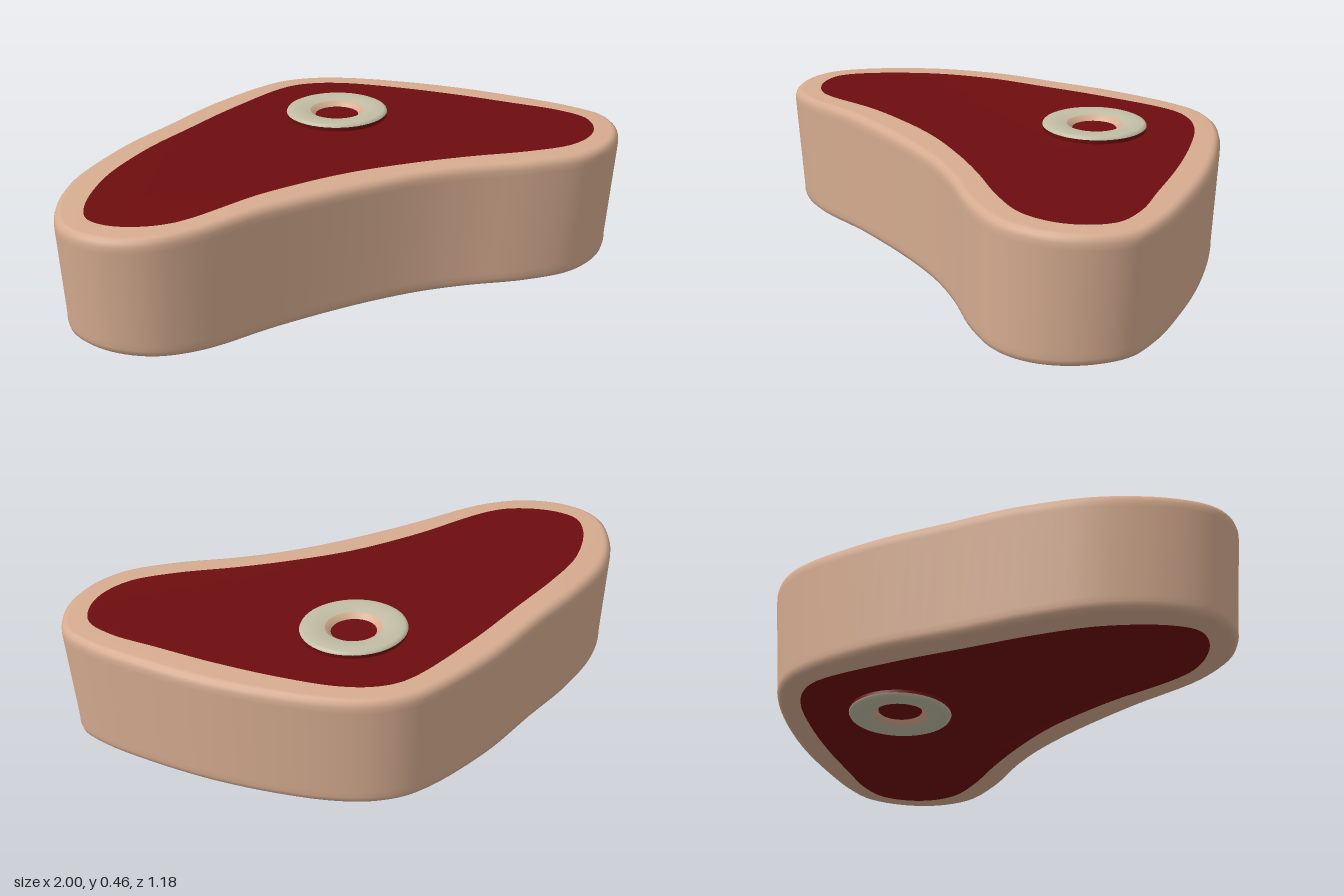
import * as THREE from 'three';

const material = (name, color) => Object.assign(new THREE.MeshStandardMaterial({ color }), { name });

// Matching outlines seen from above, as x, z pairs
const OUTER = [[0.2, -0.593], [0.33, -0.57], [0.45, -0.5], [0.6, -0.36], [0.75, -0.18], [0.88, 0.02], [0.965, 0.18],
  [1, 0.31], [0.95, 0.44], [0.84, 0.54], [0.69, 0.585], [0.51, 0.555], [0.3, 0.48], [0.13, 0.437], [-0.1, 0.412],
  [-0.4, 0.405], [-0.69, 0.418], [-0.85, 0.38], [-0.96, 0.28], [-1, 0.15], [-0.95, 0], [-0.81, -0.17],
  [-0.6, -0.3], [-0.37, -0.4], [-0.1, -0.52]];
const INNER = [[0.2, -0.51], [0.3, -0.495], [0.4, -0.435], [0.53, -0.3], [0.67, -0.12], [0.79, 0.06], [0.88, 0.2],
  [0.912, 0.31], [0.875, 0.4], [0.8, 0.465], [0.69, 0.495], [0.54, 0.468], [0.34, 0.4], [0.16, 0.35], [-0.07, 0.308],
  [-0.35, 0.305], [-0.7, 0.338], [-0.82, 0.29], [-0.89, 0.22], [-0.912, 0.15], [-0.87, 0.05], [-0.73, -0.1],
  [-0.55, -0.21], [-0.32, -0.315], [-0.08, -0.42]];

const COUNT = 150;
const BASE_SCALE = 0.975;

function sampleOutline(pairs) {
  const curve = new THREE.CatmullRomCurve3(pairs.map(([x, z]) => new THREE.Vector3(x, 0, z)), true);
  return Array.from({ length: COUNT }, (_, i) => curve.getPoint(i / COUNT));
}

// Slightly uneven upper and lower faces
const topHeight = (x) => 0.438 - 0.022 * THREE.MathUtils.smoothstep(-x, 0.4, 1) - 0.006 * Math.max(0, x) ** 4;
const bottomHeight = (x, z) => 0.02 - 0.042 * z + 0.02 * x ** 4;

// One ring: inset runs from outer (0) to inner (1); lift is measured from its face
function ring(outer, inner, isTop, inset, lift) {
  return outer.map((p, i) => {
    const v = p.clone().lerp(inner[i], inset).multiplyScalar(isTop ? 1 : BASE_SCALE);
    v.y = isTop ? topHeight(v.x) - lift : bottomHeight(v.x, v.z) + lift;
    return v;
  });
}

function buildGeometry(points, index) {
  const geometry = new THREE.BufferGeometry().setFromPoints(points);
  geometry.setIndex(index);
  geometry.computeVertexNormals();
  return geometry;
}

function loft(rings) {
  const index = [];
  for (let j = 0; j < rings.length - 1; j++) {
    for (let i = 0; i < COUNT; i++) {
      const k = (i + 1) % COUNT;
      const a = j * COUNT + i, b = j * COUNT + k, c = a + COUNT, d = b + COUNT;
      index.push(a, c, b, b, c, d);
    }
  }
  return buildGeometry(rings.flat(), index);
}

function cap(points, facesUp) {
  const flat = points.map((p) => new THREE.Vector2(p.x, p.z));
  const index = [];
  for (const [a, b, c] of THREE.ShapeUtils.triangulateShape(flat, [])) {
    const turn = flat[b].clone().sub(flat[a]).cross(flat[c].clone().sub(flat[a]));
    index.push(...((turn < 0) === facesUp ? [a, b, c] : [a, c, b]));
  }
  return buildGeometry(points, index);
}

export function createModel() {
  const model = new THREE.Group();
  model.name = 'steak';
  const fat = material('fat', 0xd6ac90);
  const meat = material('meat', 0x6e0d0f);
  const bone = material('bone', 0xc2bda5);

  const add = (parent, name, geometry, mat) => {
    const mesh = new THREE.Mesh(geometry, mat);
    mesh.name = name;
    parent.add(mesh);
  };

  // Fat rim with rounded edges, and the two meat faces inside it
  const outer = sampleOutline(OUTER), inner = sampleOutline(INNER);
  const edge = [[1, 0], [0.28, 0], [0.16, 0.003], [0.05, 0.011], [0, 0.026], [0, 0.045]];
  const lower = edge.map(([s, h]) => ring(outer, inner, false, s, h));
  const upper = edge.map(([s, h]) => ring(outer, inner, true, s, h)).reverse();
  add(model, 'fatRim', loft([...lower, ...upper]), fat);
  add(model, 'meatTop', cap(upper.at(-1), true), meat);
  add(model, 'meatBottom', cap(lower[0], false), meat);

  // Bone ring: red foot, pale rounded top, pinkish lip around the marrow
  const boneParts = [
    ['boneFoot', meat, [[0.174, -0.01], [0.177, 0.012]]],
    ['boneRing', bone, [[0.177, 0.012], [0.174, 0.018], [0.165, 0.022], [0.14, 0.023], [0.115, 0.021], [0.094, 0.016]]],
    ['marrowLip', fat, [[0.094, 0.016], [0.083, 0.009], [0.075, 0]]],
    ['marrowWall', meat, [[0.075, 0], [0.074, -0.01]]],
  ];
  const addBone = (name, y, z, tilt) => {
    const group = new THREE.Group();
    group.name = name;
    for (const [part, mat, profile] of boneParts) {
      const points = profile.map(([r, h]) => new THREE.Vector2(r, h));
      add(group, part, new THREE.LatheGeometry(points, 48), mat);
    }
    group.position.set(0.197, y, z);
    group.rotation.x = tilt;
    group.scale.z = 0.97;
    model.add(group);
  };
  addBone('boneTop', 0.438, -0.172, 0);
  addBone('boneBottom', bottomHeight(0.197, -0.15) + 0.004, -0.15, Math.PI + 0.042);

  return model;
}
